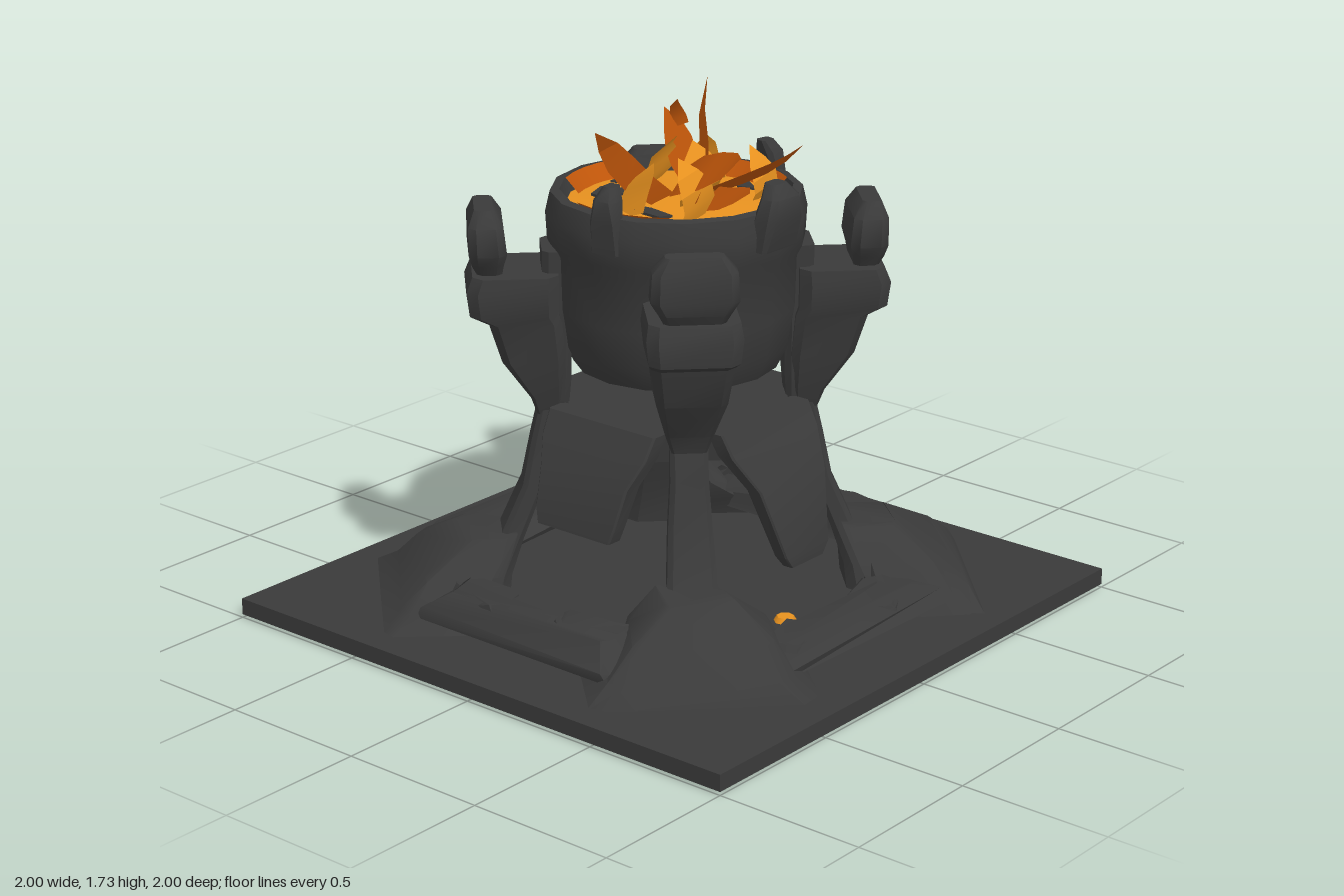
import * as THREE from 'three';
import { toCreasedNormals } from 'three/addons/utils/BufferGeometryUtils.js';

export function createModel() {
  const model = new THREE.Group();
  model.name = 'brazier';
  const stone = new THREE.MeshStandardMaterial({ color: 0x3a3a3a });
  stone.name = 'darkStone';
  const amber = new THREE.MeshStandardMaterial({ color: 0xe8921f, side: THREE.DoubleSide });
  amber.name = 'amber';
  const orange = new THREE.MeshStandardMaterial({ color: 0xc0560a, side: THREE.DoubleSide });
  orange.name = 'deepOrange';

  let seed = 7;
  const rand = () => (seed = (seed * 16807) % 2147483647) / 2147483647 - 0.5;

  const add = (name, geo, mat, parent = model) => {
    const mesh = new THREE.Mesh(geo, mat);
    mesh.name = name;
    parent.add(mesh);
    return mesh;
  };

  // Lofts chamfered rectangles upward; rows are [y, inner z, outer z, half width]
  function loft(rows, jitter = 0, chamfer = 0.22) {
    const pos = [], n = 8;
    const loops = rows.map(([y, z0, z1, w]) => {
      const c = chamfer * Math.min(2 * w, z1 - z0);
      return [[-w + c, z1], [w - c, z1], [w, z1 - c], [w, z0 + c], [w - c, z0], [-w + c, z0], [-w, z0 + c], [-w, z1 - c]]
        .map(([x, z]) => [x + rand() * jitter, y + rand() * jitter * 0.4, z + rand() * jitter]);
    });
    const tri = (a, b, c) => pos.push(...a, ...b, ...c);
    for (let k = 0; k < loops.length - 1; k++) {
      for (let i = 0; i < n; i++) {
        const j = (i + 1) % n, A = loops[k], B = loops[k + 1];
        tri(A[i], A[j], B[j]);
        tri(A[i], B[j], B[i]);
      }
    }
    const low = loops[0], top = loops[loops.length - 1];
    for (let i = 1; i < n - 1; i++) {
      tri(low[0], low[i + 1], low[i]);
      tri(top[0], top[i], top[i + 1]);
    }
    const g = new THREE.BufferGeometry();
    g.setAttribute('position', new THREE.Float32BufferAttribute(pos, 3));
    return toCreasedNormals(g, 0.7);
  }

  // Ground slab
  add('groundSlab', new THREE.BoxGeometry(2, 0.055, 2), stone).position.y = 0.0385;
  add('slabUnderside', new THREE.BoxGeometry(1.8, 0.012, 1.8), stone).position.y = 0.006;

  // Bowl with a heavy rim
  const profile = [[0, 0.85], [0.33, 0.85], [0.365, 0.92], [0.385, 1.05], [0.39, 1.22], [0.41, 1.26],
    [0.415, 1.35], [0.4, 1.415], [0.37, 1.42], [0.35, 1.36], [0.31, 1.3], [0, 1.29]];
  const bowl = new THREE.LatheGeometry(profile.map(([r, y]) => new THREE.Vector2(r, y)), 16);
  add('bowl', toCreasedNormals(bowl, 0.6), stone);

  // Collar below the bowl
  const collar = new THREE.CylinderGeometry(0.38, 0.36, 0.11, 8);
  collar.rotateY(Math.PI / 8);
  add('collar', toCreasedNormals(collar, 0.5), stone).position.y = 0.675;

  // Four diagonal supports
  for (let k = 0; k < 4; k++) {
    const support = new THREE.Group();
    support.name = 'support' + (k + 1);
    support.rotation.y = Math.PI / 4 + k * Math.PI / 2;
    model.add(support);
    add('foot', loft([[0.06, 0.6, 0.97, 0.36], [0.12, 0.59, 0.92, 0.29], [0.2, 0.57, 0.84, 0.22],
      [0.29, 0.54, 0.7, 0.11]], 0.04, 0.13), stone, support);
    add('leg', loft([[0.06, 0.55, 0.7, 0.12], [0.15, 0.54, 0.66, 0.1], [0.27, 0.5, 0.58, 0.08], [0.45, 0.43, 0.5, 0.07],
      [0.6, 0.4, 0.47, 0.06], [0.73, 0.38, 0.44, 0.06]]), stone, support);
    add('rail', loft([[0.7, 0.35, 0.42, 0.06], [0.82, 0.34, 0.43, 0.08], [1.24, 0.34, 0.43, 0.09]]), stone, support);
    add('arm', loft([[0.69, 0.38, 0.45, 0.055], [0.75, 0.37, 0.47, 0.075], [0.88, 0.36, 0.56, 0.11], [1.01, 0.37, 0.6, 0.128],
      [1.04, 0.38, 0.66, 0.14], [1.12, 0.38, 0.67, 0.148], [1.17, 0.38, 0.65, 0.14]], 0, 0.12), stone, support);
    add('armFin', loft([[1.14, 0.56, 0.62, 0.08], [1.2, 0.55, 0.65, 0.11], [1.24, 0.54, 0.66, 0.135],
      [1.33, 0.55, 0.66, 0.13], [1.38, 0.58, 0.64, 0.09]]), stone, support);
  }

  // Hanging flaps and rubble bridging the feet on the four sides; the front flap is longest
  for (let k = 0; k < 4; k++) {
    const side = new THREE.Group();
    side.name = 'side' + (k + 1);
    side.rotation.y = k * Math.PI / 2;
    model.add(side);
    const rows = k === 0
      ? [[0.29, 0.5, 0.54, 0.08], [0.33, 0.49, 0.54, 0.11], [0.55, 0.42, 0.48, 0.165]]
      : [[0.4, 0.45, 0.51, 0.15], [0.45, 0.44, 0.5, 0.165], [0.57, 0.39, 0.46, 0.18]];
    add('flap', loft([...rows, [0.66, 0.34, 0.41, 0.215], [0.73, 0.3, 0.37, 0.22]], 0, 0.1), stone, side);
    const h = [0, 0.05, 0.02, 0.04][k], out = [0, -0.02, 0.05, 0.02][k];
    add('rubbleRidge', loft([[0.1, 0.57, 0.8 + out, 0.46], [0.13, 0.59, 0.78 + out, 0.43],
      [0.16 + h, 0.62, 0.72 + out, 0.33]], 0.05), stone, side);
    for (const x of [-0.24, 0.2]) {
      const rock = add('rubbleSlab', loft([[0, -0.08, 0.08, 0.15], [0.05, -0.06, 0.06, 0.12]], 0.05), stone, side);
      rock.position.set(x, 0.11 + h, 0.67);
      rock.rotation.set(0.1, rand(), rand() * 0.2);
    }
  }

  // Three thin rim horns: front, left and right
  [[-0.03, 0.04, 0.08], [1.38, 0, 0.05], [-1.45, 0, 0.05]].forEach(([angle, out, w]) => {
    const horn = add('rimHorn', loft([[1.3, 0.38, 0.41 + out / 2, w], [1.4, 0.37, 0.42 + out, w],
      [1.47, 0.35 + out, 0.42 + out, w * 0.8], [1.51, 0.34 + out, 0.39 + out, w * 0.4]]), stone);
    horn.rotation.y = angle;
  });

  // Domed bed of glowing coals
  const bed = new THREE.ConeGeometry(0.355, 0.03, 16, 1, true);
  add('emberBed', bed, amber).position.y = 1.385;

  // Dark gaps in the bed, as thin jagged plates
  const gaps = [
    [[-0.18, -0.2], [-0.1, -0.23], [-0.08, -0.17], [0, -0.17], [0, -0.11], [-0.08, -0.08], [-0.12, -0.13], [-0.19, -0.14]],
    [[-0.24, 0.13], [-0.23, 0.02], [-0.19, -0.03], [-0.18, 0.05], [-0.2, 0.15]],
    [[-0.03, -0.25], [0.05, -0.25], [0.01, -0.19]],
    [[0.18, 0.1], [0.24, 0.05], [0.25, 0.09], [0.2, 0.16]]];
  for (const outline of gaps) {
    const shape = new THREE.Shape(outline.map(([x, z]) => new THREE.Vector2(x, -z)));
    const g = new THREE.ExtrudeGeometry(shape, { depth: 0.008, bevelEnabled: false });
    g.rotateX(-Math.PI / 2);
    add('charredGap', g, stone).position.y = 1.391;
  }

  // Flame blades: a tapering ribbon along a curve, spread along an angle and by a lift
  function flame(mat, width, angle, lift, points) {
    const curve = new THREE.CatmullRomCurve3(points.map(p => new THREE.Vector3(...p)));
    const pos = [], idx = [], steps = 4;
    for (let i = 0; i <= steps; i++) {
      const t = i / steps, p = curve.getPoint(t);
      const w = width * (0.75 + 0.9 * t) * (1 - t * t) / 2;
      const dx = Math.cos(angle) * w, dz = Math.sin(angle) * w, dy = lift * w;
      pos.push(p.x - dx, p.y - dy, p.z - dz, p.x + dx, p.y + dy, p.z + dz);
      if (i < steps) idx.push(2 * i, 2 * i + 1, 2 * i + 3, 2 * i, 2 * i + 3, 2 * i + 2);
    }
    const g = new THREE.BufferGeometry();
    g.setAttribute('position', new THREE.Float32BufferAttribute(pos, 3));
    g.setIndex(idx);
    add('flame', toCreasedNormals(g, 0.4), mat);
  }
  flame(orange, 0.12, 2.2, 0.5, [[-0.16, 1.43, 0.2], [0.0, 1.51, 0.12], [0.12, 1.6, 0.0], [0.2, 1.73, -0.04]]);
  flame(orange, 0.11, 2.4, 0.6, [[0.0, 1.43, 0.14], [0.08, 1.48, 0.24], [0.15, 1.52, 0.3], [0.21, 1.57, 0.34]]);
  flame(orange, 0.1, 0.3, 1.2, [[-0.06, 1.46, 0.06], [-0.12, 1.52, 0.18], [-0.13, 1.56, 0.3], [-0.15, 1.61, 0.38]]);
  flame(orange, 0.09, 0.5, 0.8, [[-0.02, 1.42, 0.15], [-0.08, 1.44, 0.25], [-0.1, 1.47, 0.33], [-0.13, 1.5, 0.4]]);
  flame(orange, 0.1, 1.2, 0.6, [[-0.14, 1.42, 0.06], [-0.18, 1.48, -0.03], [-0.19, 1.55, -0.1], [-0.24, 1.62, -0.13]]);
  flame(orange, 0.09, 0.9, 0.6, [[0.08, 1.43, 0.0], [0.12, 1.49, -0.08], [0.16, 1.54, -0.14], [0.2, 1.6, -0.22]]);
  flame(amber, 0.1, 0.2, 0.4, [[0.17, 1.38, 0.2], [0.18, 1.43, 0.22], [0.17, 1.48, 0.2], [0.19, 1.54, 0.14]]);
  flame(amber, 0.15, 0.5, 0.4, [[-0.02, 1.38, 0.1], [-0.05, 1.46, 0.14], [-0.02, 1.51, 0.1], [0.03, 1.57, 0.04]]);
  flame(amber, 0.12, 0.3, 0.4, [[-0.16, 1.38, 0.2], [-0.15, 1.45, 0.22], [-0.17, 1.51, 0.2], [-0.16, 1.57, 0.14]]);
  flame(amber, 0.14, 0.2, 0.4, [[0.05, 1.38, -0.16], [0.1, 1.44, -0.13], [0.06, 1.49, -0.12], [0.1, 1.55, -0.08]]);
  flame(amber, 0.14, 1.4, 0.4, [[0.22, 1.38, -0.04], [0.19, 1.44, -0.06], [0.19, 1.49, -0.05], [0.17, 1.55, -0.02]]);
  flame(amber, 0.14, 1.7, 0.4, [[-0.24, 1.38, 0.02], [-0.2, 1.44, 0.0], [-0.19, 1.49, 0.02], [-0.17, 1.54, 0.05]]);
  flame(orange, 0.045, 1.0, 0.4, [[-0.04, 1.64, 0.06], [-0.05, 1.67, 0.05], [-0.07, 1.7, 0.05], [-0.08, 1.73, 0.07]]);

  // Flames licking the inner wall of the rim: right-hand wall, left-hand wall, back
  for (const [start, arc] of [[4.4, 0.95], [0.95, 0.8], [2.7, 0.9]]) {
    const lick = new THREE.CylinderGeometry(0.362, 0.315, 0.055, 5, 1, true, start, arc);
    add('rimFlame', lick, orange).position.y = 1.395;
  }

  // Loose embers on the ground
  for (const [x, z, r] of [[0.78, -0.8, 0.038], [-0.01, 0.46, 0.04], [0.54, -0.33, 0.015]]) {
    const ember = add('looseEmber', new THREE.CylinderGeometry(r * 0.7, r, 0.02, 7), amber);
    ember.position.set(x, 0.073, z);
  }
  return model;
}
